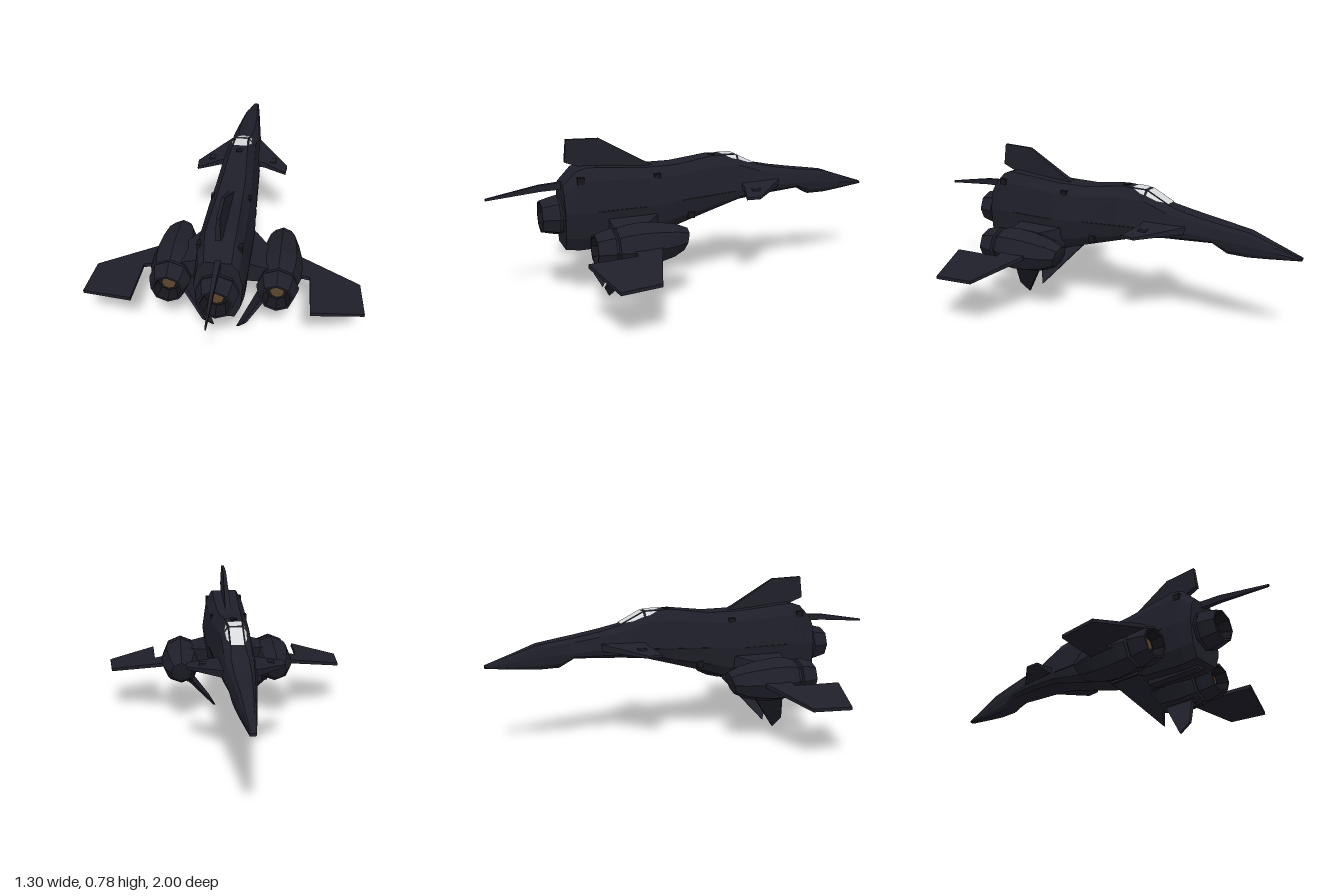
import * as THREE from 'three';

const mat = (name, color, side = THREE.FrontSide) => {
  const m = new THREE.MeshStandardMaterial({ color, side });
  m.name = name;
  return m;
};

// Fuselage stations: z, top y, waist y, bottom y, top / waist / bottom half widths
const STATIONS = [
  [-1.0, 0.437, 0.43, 0.423, 0.008, 0.015, 0.008],
  [-0.85, 0.488, 0.45, 0.41, 0.02, 0.034, 0.02],
  [-0.76, 0.52, 0.46, 0.404, 0.027, 0.044, 0.028],
  [-0.66, 0.535, 0.47, 0.406, 0.034, 0.056, 0.032],
  [-0.59, 0.545, 0.475, 0.448, 0.038, 0.064, 0.045],
  [-0.46, 0.567, 0.485, 0.442, 0.04, 0.08, 0.055],
  [-0.36, 0.59, 0.485, 0.437, 0.032, 0.087, 0.06],
  [-0.24, 0.65, 0.475, 0.425, 0.032, 0.093, 0.065],
  [-0.1, 0.655, 0.465, 0.385, 0.042, 0.1, 0.065],
  [0.09, 0.63, 0.46, 0.33, 0.055, 0.109, 0.07],
  [0.25, 0.63, 0.45, 0.28, 0.06, 0.12, 0.078],
  [0.54, 0.655, 0.45, 0.26, 0.068, 0.12, 0.078],
  [0.59, 0.64, 0.45, 0.26, 0.065, 0.117, 0.078],
  [0.655, 0.575, 0.45, 0.27, 0.06, 0.108, 0.072],
];

// Right half of the cross-section from top to bottom
const halfSection = ([z, yt, ym, yb, wt, wm, wb]) => [
  [wt, yt, z],
  [wt + (wm - wt) * 0.6, yt - (yt - ym) * 0.27, z],
  [wm, ym, z],
  [wm + (wb - wm) * 0.25, ym - (ym - yb) * 0.65, z],
  [wb, yb, z],
];

// Station interpolated at any z
function stationAt(z) {
  const i = Math.max(1, STATIONS.findIndex((s) => s[0] >= z));
  const a = STATIONS[i - 1], b = STATIONS[i], t = (z - a[0]) / (b[0] - a[0]);
  return a.map((v, k) => v + (b[k] - v) * t);
}

function triangles(list) {
  const g = new THREE.BufferGeometry();
  g.setAttribute('position', new THREE.Float32BufferAttribute(list.flat(2), 3));
  return g;
}

function fuselageGeometry() {
  const rings = STATIONS.map((s) => {
    const h = halfSection(s);
    return [...h, ...h.map(([x, y, z]) => [-x, y, z]).reverse()];
  });
  const n = rings[0].length, tris = [];
  for (let i = 0; i + 1 < rings.length; i++) {
    for (let j = 0; j < n; j++) {
      const k = (j + 1) % n, a = rings[i], b = rings[i + 1];
      tris.push([a[j], b[k], a[k]], [a[j], b[j], b[k]]);
    }
  }
  const nose = rings[0], tail = rings[rings.length - 1];
  for (let j = 1; j + 1 < n; j++) {
    tris.push([nose[0], nose[j], nose[j + 1]], [tail[0], tail[j + 1], tail[j]]);
  }
  return triangles(tris);
}

const shape = (pts) => new THREE.Shape(pts.map((p) => new THREE.Vector2(...p)));

// Plate with an (x, z) outline; rule(x, z, s) gives y for the upper (s=1) and lower (s=-1) skin
function flatPlate(pts, rule) {
  const g = new THREE.ExtrudeGeometry(shape(pts), { depth: 1, bevelEnabled: false });
  g.translate(0, 0, -0.5).rotateX(Math.PI / 2);
  const p = g.attributes.position;
  for (let i = 0; i < p.count; i++) p.setY(i, rule(p.getX(i), p.getZ(i), Math.sign(p.getY(i))));
  return g;
}

// Plate with a (z, y) outline; rule(y, z, s) gives x for either side
function uprightPlate(pts, rule) {
  const g = new THREE.ExtrudeGeometry(shape(pts), { depth: 1, bevelEnabled: false });
  g.translate(0, 0, -0.5).rotateY(-Math.PI / 2);
  const p = g.attributes.position;
  for (let i = 0; i < p.count; i++) p.setX(i, rule(p.getY(i), p.getZ(i), Math.sign(p.getX(i))));
  return g;
}

// Eight-sided body turned about the z axis; profile of [radius, z]
const turned = (profile, x, y) =>
  new THREE.LatheGeometry(profile.map((p) => new THREE.Vector2(...p)), 8).rotateX(Math.PI / 2).translate(x, y, 0);

// Rakes the front of a turned body so its lower lip sits further back
function rakeFront(g, y, zEnd, amount) {
  const p = g.attributes.position;
  for (let i = 0; i < p.count; i++) {
    const z = p.getZ(i);
    if (z < zEnd) p.setZ(i, z + (y + 0.05 - Math.min(p.getY(i), y + 0.05)) * amount * (zEnd - z));
  }
  return g;
}

const box = (w, h, d, x, y, z) => new THREE.BoxGeometry(w, h, d).translate(x, y, z);

export function createModel() {
  const root = new THREE.Group();
  root.name = 'starfighter';
  const hull = mat('hull navy', 0x1f1f2a);
  const dark = mat('dark metal', 0x15151b);
  const glass = mat('canopy glass', 0xd6d8da, THREE.DoubleSide);
  const glow = mat('engine amber', 0x5c462d);

  const add = (name, geometry, material) => {
    const g = geometry.index ? geometry.toNonIndexed() : geometry;
    g.computeVertexNormals();
    const m = new THREE.Mesh(g, material);
    m.name = name;
    root.add(m);
  };
  // Adds a part and its mirror image
  const pair = (name, geometry, material) => {
    const g = geometry.index ? geometry.toNonIndexed() : geometry;
    const r = g.clone(), p = g.attributes.position, q = r.attributes.position;
    for (let i = 0; i < p.count; i++) {
      const j = i % 3 === 0 ? i : i % 3 === 1 ? i + 1 : i - 1;
      q.setXYZ(i, -p.getX(j), p.getY(j), p.getZ(j));
    }
    add(name + 'Left', g, material);
    add(name + 'Right', r, material);
  };

  add('fuselage', fuselageGeometry(), hull);

  // Canopy panes lying just above the hull surface
  const onHull = (z, t) => {
    const [a, b] = halfSection(stationAt(z));
    return [a[0] + (b[0] - a[0]) * t + 0.003, a[1] + (b[1] - a[1]) * t + 0.003, z];
  };
  const topPane = (z0, z1) => {
    const [a, b] = [onHull(z0, 0), onHull(z1, 0)].map(([x, y, z]) => [x - 0.005, y + 0.001, z]);
    const c = [-a[0], a[1], a[2]], d = [-b[0], b[1], b[2]];
    return triangles([[a, d, c], [a, b, d]]);
  };
  const sidePane = (a, b, c, d) => triangles([[a, c, b], [a, d, c]]);
  add('windscreen', topPane(-0.355, -0.246), glass);
  add('canopyRoof', topPane(-0.234, -0.16), glass);
  pair('canopyFrontSide', sidePane(onHull(-0.335, 0.08), onHull(-0.3, 0.4), onHull(-0.246, 0.48), onHull(-0.246, 0.08)), glass);
  pair('canopyRearSide', sidePane(onHull(-0.234, 0.08), onHull(-0.234, 0.48), onHull(-0.215, 0.42), onHull(-0.175, 0.08)), glass);

  // Tail fin, tail spike and belly keel
  add('tailFin', uprightPlate([[0.19, 0.625], [0.24, 0.65], [0.46, 0.777], [0.62, 0.782], [0.63, 0.675], [0.54, 0.64]],
    (y, z, s) => s * (0.015 - (y - 0.63) * 0.05)), hull);
  add('tailSpike', uprightPlate([[0.6, 0.55], [0.75, 0.546], [1.0, 0.524], [1.0, 0.535], [0.755, 0.576], [0.6, 0.585]],
    (y, z, s) => s * (0.015 - (z - 0.6) * 0.03)), hull);
  add('bellyKeel', box(0.045, 0.025, 0.28, 0, 0.263, 0.48), hull);
  add('antennaBlock', box(0.03, 0.02, 0.03, 0, 0.649, -0.115), dark);

  // Canards
  pair('canard', flatPlate([[0.06, -0.47], [0.08, -0.46], [0.235, -0.28], [0.23, -0.21], [0.115, -0.25], [0.06, -0.25]],
    (x, z, s) => 0.498 - (x - 0.06) * 0.17 + s * (0.018 - (x - 0.06) * 0.07)), hull);
  pair('canardBlock', box(0.03, 0.025, 0.04, 0.16, 0.486, -0.29), hull);

  // Pylons joining the nacelles to the hull
  pair('pylon', flatPlate([[0.08, 0.19], [0.13, 0.22], [0.2, 0.3], [0.2, 0.455], [0.08, 0.455]],
    (x, z, s) => (s > 0 ? 0.42 - (x - 0.08) * 0.25 : 0.31)), hull);

  // Wings sloping down from the nacelles
  pair('wing', flatPlate([[0.33, 0.265], [0.35, 0.27], [0.63, 0.37], [0.65, 0.56], [0.405, 0.632], [0.393, 0.4], [0.33, 0.4]],
    (x, z, s) => 0.308 - (x - 0.36) * 0.193 + s * (0.01 - (x - 0.33) * 0.008)), hull);

  // Ventral fins leaning inward
  pair('ventralFin', uprightPlate([[0.26, 0.235], [0.28, 0.21], [0.45, 0.003], [0.48, 0.06], [0.43, 0.21], [0.43, 0.235]],
    (y, z, s) => 0.058 + y * 0.68 + s * (0.006 + y * 0.025)), hull);

  // Engines: two nacelles with nozzles, and the tail engine
  const nx = 0.25, ny = 0.312;
  pair('nacelle', rakeFront(turned([[0, 0.105], [0.055, 0.11], [0.082, 0.17], [0.1, 0.26], [0.109, 0.35], [0.104, 0.42],
    [0.092, 0.46], [0.078, 0.465], [0.078, 0.485], [0, 0.485]], nx, ny), ny, 0.3, 1.8), hull);
  pair('nozzle', turned([[0.075, 0.478], [0.098, 0.48], [0.094, 0.505], [0.076, 0.562], [0.066, 0.562]], nx, ny), hull);
  pair('nozzleLining', turned([[0.066, 0.562], [0.05, 0.51], [0, 0.51]], nx, ny), dark);
  pair('engineGlow', turned([[0.035, 0.512], [0.033, 0.518], [0, 0.518]], nx, ny), glow);
  pair('nacelleRib', box(0.03, 0.012, 0.16, nx - 0.045, 0.214, 0.36), hull);

  add('tailEngineCollar', turned([[0.1, 0.56], [0.103, 0.64], [0.09, 0.662], [0.08, 0.665], [0, 0.68]], 0, 0.425), hull);
  add('tailNozzle', turned([[0.08, 0.672], [0.097, 0.675], [0.092, 0.7], [0.078, 0.755], [0.068, 0.755]], 0, 0.425), hull);
  add('tailNozzleLining', turned([[0.068, 0.755], [0.052, 0.7], [0, 0.7]], 0, 0.425), dark);
  add('tailEngineGlow', turned([[0.035, 0.702], [0.033, 0.708], [0, 0.708]], 0, 0.425), glow);

  // Small hatches and thin waist seams along the flanks
  for (const [x, y, z] of [[0.09, 0.6, 0.575], [0.084, 0.585, 0.2], [0.094, 0.38, 0.03]]) {
    pair('hatch', box(0.02, 0.032, 0.034, x, y, z), dark);
  }
  for (const [z0, z1] of [[-0.22, 0.08], [0.26, 0.5]]) {
    const a = stationAt(z0), b = stationAt(z1);
    pair('waistSeam', flatPlate([[a[5] - 0.01, z0], [a[5] + 0.002, z0], [b[5] + 0.002, z1], [b[5] - 0.01, z1]],
      (x, z, s) => stationAt(z)[2] + s * 0.003), dark);
  }
  return root;
}
